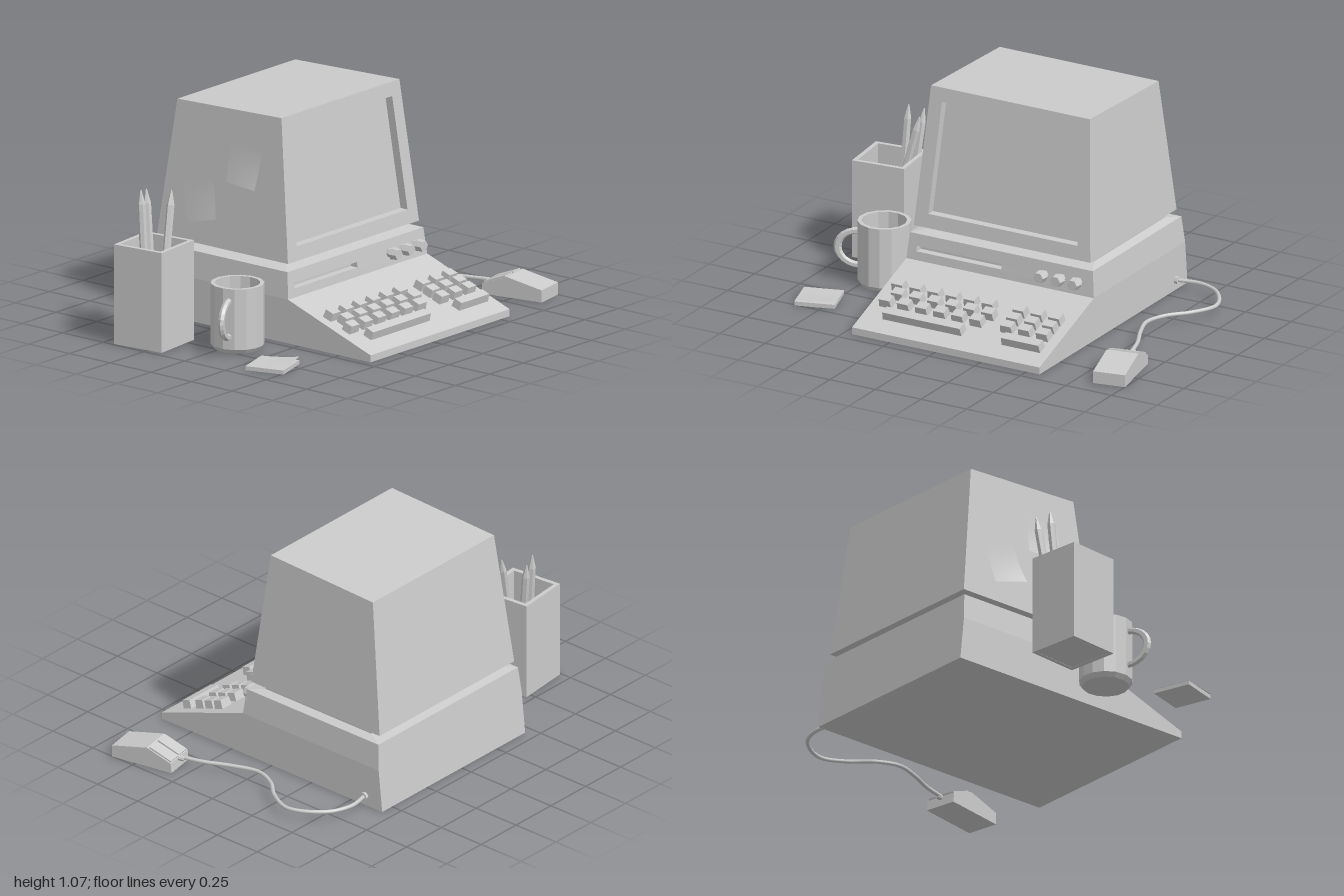
import * as THREE from 'three';

const mat = new THREE.MeshStandardMaterial({ color: 0xcccccc, flatShading: true });
const smoothMat = new THREE.MeshStandardMaterial({ color: 0xcccccc });
const paperMat = new THREE.MeshStandardMaterial({ color: 0xcccccc, side: THREE.DoubleSide });

function add(parent, name, geometry, position = [0, 0, 0], material = mat) {
  const mesh = new THREE.Mesh(geometry, material);
  mesh.name = name;
  mesh.position.set(...position);
  parent.add(mesh);
  return mesh;
}

function addGroup(parent, name, position, rotationY = 0) {
  const group = new THREE.Group();
  group.name = name;
  group.position.set(...position);
  group.rotation.y = rotationY;
  parent.add(group);
  return group;
}

// Skin through four-cornered rings, closed at both ends
function loft(rings) {
  const pos = [];
  const quad = (a, b, c, d) => pos.push(...a, ...b, ...c, ...a, ...c, ...d);
  for (let i = 0; i < rings.length - 1; i++) {
    for (let j = 0; j < 4; j++) {
      const k = (j + 1) % 4;
      quad(rings[i][j], rings[i][k], rings[i + 1][k], rings[i + 1][j]);
    }
  }
  quad(...[...rings[0]].reverse());
  quad(...rings[rings.length - 1]);
  const g = new THREE.BufferGeometry();
  g.setAttribute('position', new THREE.Float32BufferAttribute(pos, 3));
  g.computeVertexNormals();
  return g;
}

// Ring standing upright: each edge is [x, y, zBack, zFront]
const uprightRing = ([xt, yt, zt0, zt1], [xb, yb, zb0, zb1]) =>
  [[xt, yt, zt0], [xt, yt, zt1], [xb, yb, zb1], [xb, yb, zb0]];
// Ring lying flat at height y
const flatRing = (y, x0, x1, z0, z1) => [[x0, y, z1], [x1, y, z1], [x1, y, z0], [x0, y, z0]];

function extrudeXY(points, z0, z1) {
  const shape = new THREE.Shape(points.map(p => new THREE.Vector2(...p)));
  return new THREE.ExtrudeGeometry(shape, { depth: z1 - z0, bevelEnabled: false }).translate(0, 0, z0);
}

// Sheet of paper, displaced by lift(u, v) along its normal
function paper(size, lift) {
  const g = new THREE.PlaneGeometry(size, size, 6, 6);
  const p = g.attributes.position;
  for (let i = 0; i < p.count; i++) p.setZ(i, lift(p.getX(i) / size + 0.5, p.getY(i) / size + 0.5));
  g.computeVertexNormals();
  return g;
}

function buildComputer(root) {
  const computer = addGroup(root, 'computer', [0, 0, 0]);

  // Wedge-shaped lower case
  add(computer, 'lowerCase', extrudeXY(
    [[-0.69, 0], [0.69, 0], [0.69, 0.035], [0.183, 0.215], [-0.668, 0.215]], -0.57, 0.457));

  // Upper case with a recessed disk slot
  add(computer, 'upperCase', loft([
    uprightRing([-0.655, 0.345, -0.557, 0.445], [-0.668, 0.215, -0.57, 0.457]),
    uprightRing([0.17, 0.345, -0.557, 0.445], [0.183, 0.215, -0.57, 0.457]),
    uprightRing([0.176, 0.285, -0.06, 0.404], [0.179, 0.258, -0.06, 0.404]),
    uprightRing([0.14, 0.285, -0.06, 0.404], [0.14, 0.258, -0.06, 0.404]),
  ]));
  add(computer, 'neck', loft([
    flatRing(0.345, -0.655, 0.17, -0.557, 0.445),
    flatRing(0.358, -0.576, 0.09, -0.515, 0.365),
    flatRing(0.37, -0.576, 0.09, -0.515, 0.365),
    flatRing(0.38, -0.645, 0.16, -0.537, 0.43),
  ]));

  // Monitor with a recessed screen
  add(computer, 'monitor', loft([
    uprightRing([-0.56, 1.05, -0.488, 0.382], [-0.645, 0.38, -0.537, 0.43]),
    uprightRing([0.08, 1.072, -0.488, 0.382], [0.16, 0.38, -0.537, 0.43]),
    uprightRing([0.088, 1.003, -0.425, 0.318], [0.152, 0.449, -0.462, 0.355]),
    uprightRing([0.045, 1.003, -0.425, 0.318], [0.109, 0.449, -0.462, 0.355]),
  ]));

  // Hexagonal knobs
  for (const z of [-0.482, -0.39, -0.296]) {
    add(computer, 'knobStem', new THREE.CylinderGeometry(0.022, 0.022, 0.04, 6).rotateZ(-Math.PI / 2), [0.185, 0.28, z]);
    add(computer, 'knob', new THREE.CylinderGeometry(0.027, 0.031, 0.04, 6).rotateZ(-Math.PI / 2), [0.218, 0.28, z]);
  }

  // Keys laid out on the sloping deck
  const slope = Math.atan2(0.18, 0.507);
  const key = (name, x, z, depth) => {
    const y = 0.215 - (x - 0.183) * Math.tan(slope);
    const h = 0.043, w = 0.026, d = depth / 2;
    const mesh = add(computer, name, loft([
      flatRing(-0.01, -w, w, -d, d),
      flatRing(h, -w + 0.003, w - 0.003, -d + 0.005, d - 0.005),
    ]), [x - 0.006, y, z]);
    mesh.rotation.z = -slope;
  };
  for (let col = 0; col < 3; col++) {
    const x = 0.386 + col * 0.058;
    for (let i = 0; i < 6; i++) key('key', x, -0.12 + i * 0.099 - (col === 1 ? 0.032 : 0), 0.068);
    for (let i = 0; i < 3; i++) key('numberKey', x, -0.485 + i * 0.098, 0.068);
  }
  key('spaceBar', 0.58, 0.127, 0.434);
  key('enterBar', 0.58, -0.414, 0.214);

  // Paper notes stuck to the side, lifting at the lower edge
  const note = (x, y, z, turn) => {
    const mesh = add(computer, 'stickyNote', paper(0.19, (u, v) => 0.003 + 0.028 * (1 - v) ** 2 * (0.4 + 0.6 * u)), [x, y, z], paperMat);
    mesh.rotation.set(-0.07, 0, turn);
  };
  note(-0.13, 0.8, 0.401, -0.04);
  note(-0.385, 0.59, 0.416, 0.26);
}

function buildMouse(root) {
  const mouse = addGroup(root, 'mouse', [0.48, 0, -0.892], 0.19);
  add(mouse, 'mouseBody', extrudeXY(
    [[-0.16, 0], [0.165, 0], [0.165, 0.06], [-0.025, 0.1], [-0.155, 0.05]], -0.08, 0.08));
  // Two buttons on the front slope
  for (const side of [-1, 1]) {
    const button = add(mouse, 'mouseButton', new THREE.BoxGeometry(0.125, 0.012, 0.068), [-0.093, 0.076, side * 0.039]);
    button.rotation.z = Math.atan2(0.05, 0.13);
  }
  add(mouse, 'cordSleeve', new THREE.CylinderGeometry(0.012, 0.014, 0.04, 8).rotateZ(Math.PI / 2), [-0.165, 0.045, 0]);

  // Cord to the back of the case
  const path = [[-0.58, -0.56], [-0.6, -0.69], [-0.55, -0.81], [-0.39, -0.903], [-0.26, -0.85],
    [-0.16, -0.765], [-0.05, -0.727], [0.08, -0.765], [0.21, -0.825], [0.33, -0.861]];
  const curve = new THREE.CatmullRomCurve3(path.map(([x, z]) => new THREE.Vector3(x, 0.05, z)));
  add(root, 'mouseCord', new THREE.TubeGeometry(curve, 60, 0.01, 8), [0, 0, 0], smoothMat);
  add(root, 'cordSocket', new THREE.CylinderGeometry(0.02, 0.02, 0.02, 8).rotateX(Math.PI / 2), [-0.583, 0.05, -0.575]);
}

function buildPencilCup(root) {
  const cup = addGroup(root, 'pencilCup', [-0.32, 0, 0.842], 0.1);
  const square = r => [[-r, -r], [r, -r], [r, r], [-r, r]].map(p => new THREE.Vector2(...p));
  const wall = new THREE.Shape(square(0.136));
  wall.holes.push(new THREE.Path(square(0.115).reverse()));
  add(cup, 'cupWalls', new THREE.ExtrudeGeometry(wall, { depth: 0.49, bevelEnabled: false }).rotateX(-Math.PI / 2));
  add(cup, 'cupFloor', new THREE.BoxGeometry(0.25, 0.02, 0.25), [0, 0.011, 0]);

  // Sharpened pencils, each from foot to tip
  const pencils = [
    [[-0.28, 0.03, 0.85], [-0.338, 0.71, 0.69]],
    [[-0.36, 0.03, 0.79], [-0.457, 0.705, 0.735]],
    [[-0.37, 0.03, 0.83], [-0.432, 0.72, 0.805]],
  ];
  for (const [foot, tip] of pencils) {
    const a = new THREE.Vector3(...foot), dir = new THREE.Vector3(...tip).sub(a);
    const len = dir.length();
    const profile = [[0, 0], [0.019, 0], [0.019, len - 0.07], [0.004, len - 0.005], [0, len]];
    const pencil = add(root, 'pencil', new THREE.LatheGeometry(profile.map(p => new THREE.Vector2(...p)), 6), foot);
    pencil.quaternion.setFromUnitVectors(new THREE.Vector3(0, 1, 0), dir.normalize());
  }
}

function buildMug(root) {
  const mug = addGroup(root, 'mug', [0.042, 0, 0.66], -1.22);
  const profile = [[0, 0], [0.112, 0], [0.128, 0.022], [0.128, 0.32], [0.108, 0.32], [0.108, 0.03], [0, 0.03]];
  add(mug, 'mugBody', new THREE.LatheGeometry(profile.map(p => new THREE.Vector2(...p)), 14));
  const handle = add(mug, 'mugHandle', new THREE.TorusGeometry(0.088, 0.016, 6, 12, Math.PI).rotateZ(-Math.PI / 2), [0.118, 0.172, 0]);
  handle.scale.x = 1.22;
}

function buildNotepad(root) {
  const pad = addGroup(root, 'notepad', [0.386, 0, 0.815], 0.3);
  add(pad, 'padStack', new THREE.BoxGeometry(0.194, 0.02, 0.194), [0, 0.01, 0]);
  // Top sheet with one edge curling up
  add(pad, 'curledSheet', paper(0.194, (u, v) => 0.001 + 0.016 * u * u * (0.3 + 0.7 * v)).rotateX(-Math.PI / 2), [0, 0.02, 0], paperMat);
}

export function createModel() {
  const root = new THREE.Group();
  root.name = 'deskComputerSet';
  buildComputer(root);
  buildMouse(root);
  buildPencilCup(root);
  buildMug(root);
  buildNotepad(root);
  return root;
}
